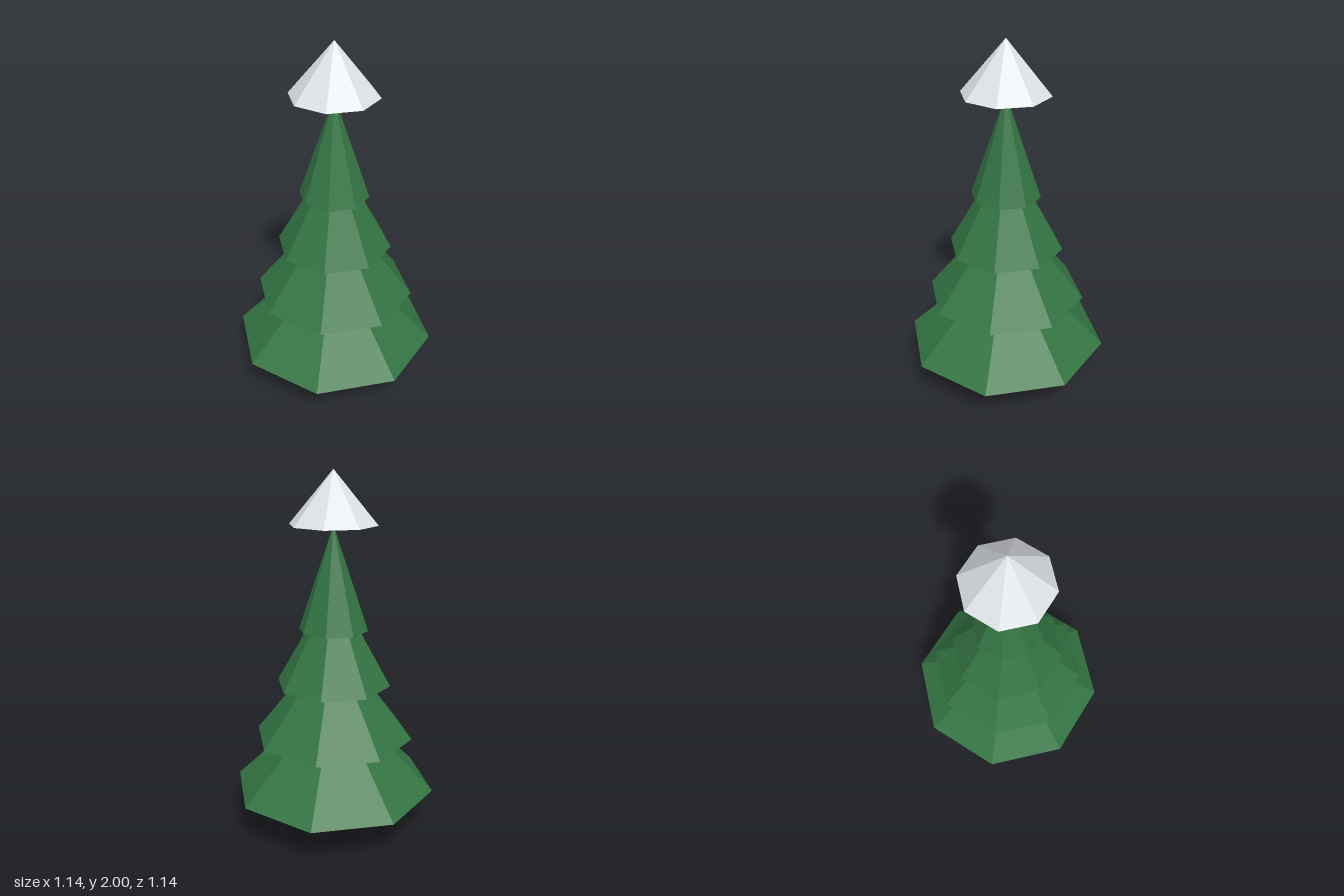
import * as THREE from 'three';

export function createModel() {
  const tree = new THREE.Group();
  tree.name = 'snowyTree';

  const paint = (name, color) => {
    const material = new THREE.MeshStandardMaterial({ color });
    material.name = name;
    return material;
  };
  const bark = paint('bark brown', 0x6b4423);
  const needles = paint('needle green', 0x347543);
  const snow = paint('snow white', 0xe8ecf0);

  // Adds a faceted part standing on the given base height
  const addPart = (name, geometry, height, baseY, material) => {
    const flat = geometry.toNonIndexed();
    flat.computeVertexNormals();
    const mesh = new THREE.Mesh(flat, material);
    mesh.name = name;
    mesh.position.y = baseY + height / 2;
    tree.add(mesh);
  };

  // Six-sided trunk
  addPart('trunk', new THREE.CylinderGeometry(0.095, 0.095, 0.24, 6), 0.24, 0, bark);

  // Four overlapping eight-sided tiers, narrowing evenly upwards
  const tierHeight = 0.56;
  for (let i = 0; i < 4; i++) {
    const radius = 0.57 - i * 0.1265;
    addPart(`foliageTier${i + 1}`, new THREE.ConeGeometry(radius, tierHeight, 8), tierHeight, 0.24 + i * 0.306, needles);
  }

  // Snow cap resting on the tip
  addPart('snowCap', new THREE.ConeGeometry(0.237, 0.28, 8), 0.28, 1.72, snow);

  return tree;
}
